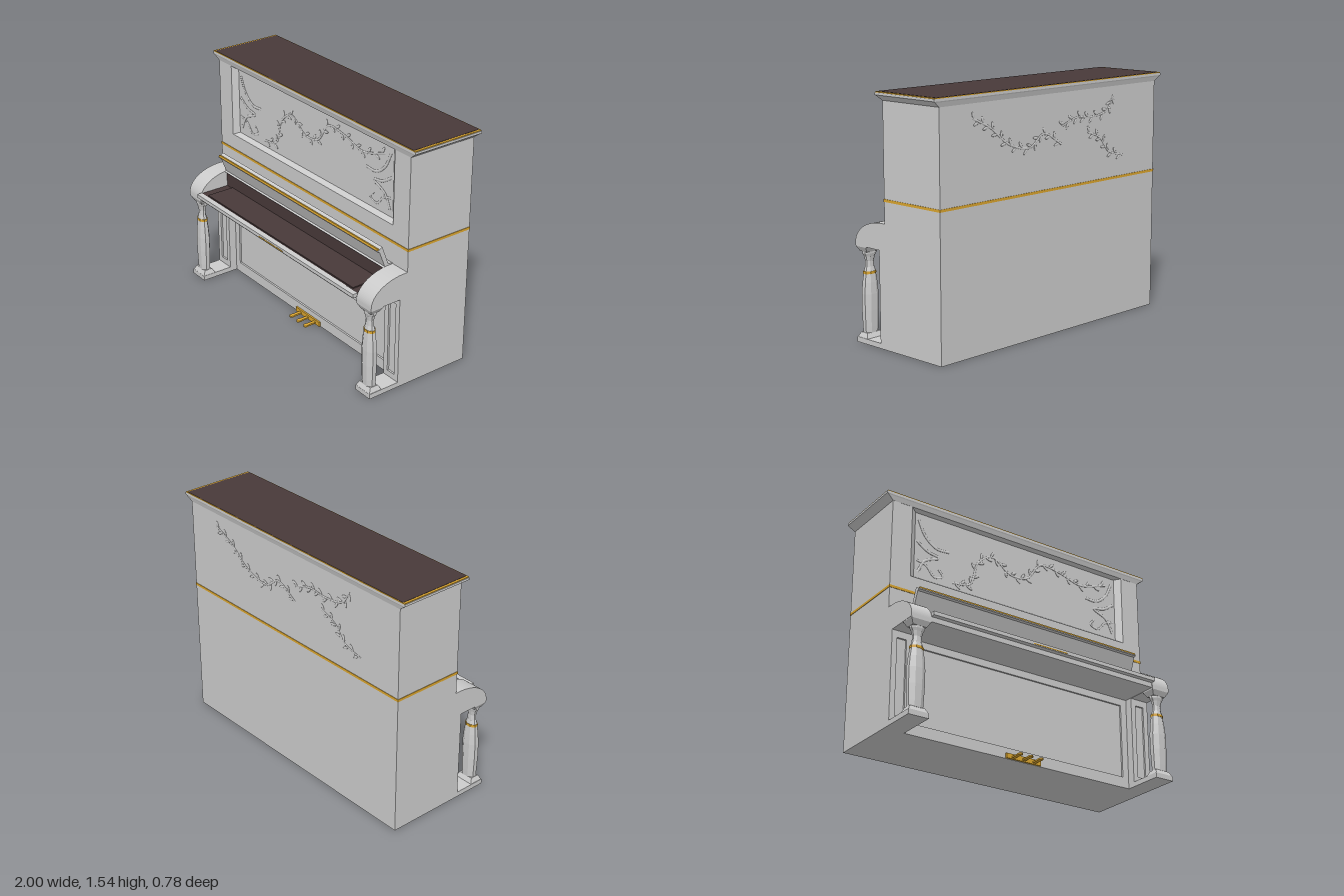
import * as THREE from 'three';

const mat = (name, color) => {
  const m = new THREE.MeshStandardMaterial({ color });
  m.name = name;
  return m;
};

// Skin a list of equal-sized loops with flat faces and an end cap
function loft(loops, startCap = true) {
  const pos = [];
  const tri = (...pts) => pts.forEach(p => pos.push(...p));
  const n = loops[0].length;
  for (let k = 0; k < loops.length - 1; k++) {
    for (let i = 0; i < n; i++) {
      const j = (i + 1) % n, [lo, hi] = [loops[k], loops[k + 1]];
      tri(lo[i], lo[j], hi[j], lo[i], hi[j], hi[i]);
    }
  }
  const first = loops[0], last = loops[loops.length - 1];
  for (let i = 1; i < n - 1; i++) {
    tri(last[0], last[i], last[i + 1]);
    if (startCap) tri(first[0], first[i + 1], first[i]);
  }
  const g = new THREE.BufferGeometry();
  g.setAttribute('position', new THREE.Float32BufferAttribute(pos, 3));
  g.computeVertexNormals();
  return g;
}

// Horizontal rectangle and octagon loops, vertical rectangle loop
const flatRect = (y, x0, x1, z0, z1) => [[x0, y, z1], [x1, y, z1], [x1, y, z0], [x0, y, z0]];
const uprightRect = (z, x0, x1, y0, y1) => [[x0, y0, z], [x1, y0, z], [x1, y1, z], [x0, y1, z]];
const octagon = (y, hx, hz) => Array.from({ length: 8 }, (_, i) => {
  const t = (i + 0.5) * Math.PI / 4, r = 1 / Math.cos(Math.PI / 8);
  return [hx * r * Math.cos(t), y, -hz * r * Math.sin(t)];
});

function boxGeo(x0, x1, y0, y1, z0, z1) {
  return new THREE.BoxGeometry(x1 - x0, y1 - y0, z1 - z0)
    .translate((x0 + x1) / 2, (y0 + y1) / 2, (z0 + z1) / 2);
}

// Rectangular frame with a rectangular opening, facing +z
function frameGeo([x0, x1, y0, y1], [a0, a1, b0, b1], z0, z1) {
  const v = pts => pts.map(p => new THREE.Vector2(...p));
  const s = new THREE.Shape(v([[x0, y0], [x1, y0], [x1, y1], [x0, y1]]));
  s.holes.push(new THREE.Path(v([[a0, b0], [a0, b1], [a1, b1], [a1, b0]])));
  return new THREE.ExtrudeGeometry(s, { depth: z1 - z0, bevelEnabled: false }).translate(0, 0, z0);
}

// Extrude a (z, y) side profile across x
function prismGeo(shape, x0, x1) {
  return new THREE.ExtrudeGeometry(shape, { depth: x1 - x0, bevelEnabled: false, curveSegments: 14 })
    .rotateY(-Math.PI / 2).translate(x1, 0, 0);
}
const poly = pts => new THREE.Shape(pts.map(p => new THREE.Vector2(...p)));

export function createModel() {
  const body = mat('body grey', 0xcccccc);
  const brown = mat('dark brown', 0x483939);
  const gold = mat('gold', 0xdaa52f);
  const model = new THREE.Group();
  model.name = 'uprightPiano';
  const add = (name, geo, m = body, parent = model) => {
    const mesh = new THREE.Mesh(geo, m);
    mesh.name = name;
    parent.add(mesh);
    return mesh;
  };

  // Case
  add('case', boxGeo(-0.953, 0.953, 0, 1.49, -0.375, 0.055));
  add('upperFrontFrame', frameGeo([-0.953, 0.953, 0.6, 1.49], [-0.815, 0.815, 1.01, 1.485], 0.055, 0.095));
  add('upperPanelRecess', loft([
    uprightRect(0.095, -0.815, 0.815, 1.01, 1.485),
    uprightRect(0.065, -0.775, 0.775, 1.03, 1.475)], false));
  add('lowerPanel', boxGeo(-0.82, 0.82, 0, 0.6, 0.05, 0.083));
  add('lowerPanelFrame', frameGeo([-0.82, 0.82, 0, 0.6], [-0.775, 0.775, 0.07, 0.555], 0.083, 0.095));
  add('goldBelt', boxGeo(-0.956, 0.956, 0.895, 0.911, -0.378, 0.098), gold);

  // Cornice and top
  add('cornice', loft([
    flatRect(1.485, -0.953, 0.953, -0.376, 0.096),
    flatRect(1.513, -0.99, 0.99, -0.384, 0.104),
    flatRect(1.52, -1, 1, -0.387, 0.107),
    flatRect(1.534, -1, 1, -0.387, 0.107)]));
  add('topGoldEdge', boxGeo(-0.997, 0.997, 1.534, 1.539, -0.387, 0.107), gold);
  add('topBoard', boxGeo(-0.982, 0.982, 1.535, 1.5405, -0.383, 0.103), brown);

  // Keyboard shelf and fallboard
  add('keybed', boxGeo(-0.82, 0.82, 0.6, 0.645, 0.09, 0.355));
  add('keybedFloor', boxGeo(-0.82, 0.82, 0.645, 0.652, 0.09, 0.357), brown);
  add('keyPlate', boxGeo(-0.76, 0.76, 0.652, 0.659, 0.14, 0.34), brown);
  add('keyBackWall', boxGeo(-0.82, 0.82, 0.65, 0.757, 0.09, 0.15), brown);
  add('keyRail', boxGeo(-0.82, 0.82, 0.632, 0.656, 0.352, 0.387));
  add('lockStrip', boxGeo(-0.12, 0.13, 0.637, 0.643, 0.385, 0.389), gold);
  add('fallboardHinge', prismGeo(poly([[0.09, 0.755], [0.165, 0.755], [0.15, 0.768], [0.12, 0.772], [0.09, 0.764]]), -0.82, 0.82));
  add('fallboard', prismGeo(poly([[0.125, 0.762], [0.155, 0.762], [0.202, 0.882], [0.176, 0.897]]), -0.82, 0.82));
  add('fallboardLip', prismGeo(poly([[0.194, 0.866], [0.211, 0.873], [0.213, 0.88], [0.2, 0.88]]), -0.82, 0.82));
  add('fallboardGoldLip', prismGeo(poly([[0.198, 0.88], [0.213, 0.88], [0.209, 0.891], [0.197, 0.888]]), -0.815, 0.815), gold);

  // Arms, cheeks, feet and legs on both sides
  const arm = poly([[0.09, 0.598], [0.36, 0.598]]);
  arm.lineTo(0.36, 0.615);
  arm.absellipse(0.12, 0.615, 0.24, 0.147, 0, Math.PI / 2, false);
  arm.lineTo(0.09, 0.762);
  const legParts = [
    ['legBase', body, [[0.06, 0.047, 0.031], [0.1, 0.049, 0.033], [0.2, 0.053, 0.036], [0.3, 0.053, 0.036], [0.37, 0.047, 0.032], [0.422, 0.039, 0.027]]],
    ['legGoldBand', gold, [[0.422, 0.041, 0.029], [0.438, 0.041, 0.029]]],
    ['legNeck', body, [[0.438, 0.037, 0.026], [0.465, 0.029, 0.02], [0.5, 0.027, 0.018], [0.53, 0.034, 0.024], [0.548, 0.045, 0.029], [0.562, 0.045, 0.029]]],
  ];
  for (const s of [-1, 1]) {
    const side = s > 0 ? 'left' : 'right';
    const [x0, x1] = s > 0 ? [0.82, 0.953] : [-0.953, -0.82];
    add(side + 'Arm', prismGeo(arm, x0, x1));
    add(side + 'Cheek', boxGeo(x0, x1, 0, 0.6, 0.05, 0.135));
    add(side + 'CheekFrame', frameGeo([x0, x1, 0, 0.6], [x0 + 0.035, x1 - 0.035, 0.07, 0.555], 0.135, 0.147));
    add(side + 'Foot', boxGeo(x0, x1, 0, 0.032, 0.14, 0.36));
    const leg = new THREE.Group();
    leg.name = side + 'Leg';
    leg.position.set(s * 0.886, 0, 0.314);
    model.add(leg);
    add('legPlinth', loft([
      flatRect(0.032, -0.064, 0.064, -0.045, 0.045),
      flatRect(0.062, -0.05, 0.05, -0.028, 0.028)]), body, leg);
    add('legCapital', loft([
      flatRect(0.56, -0.046, 0.046, -0.03, 0.03),
      flatRect(0.592, -0.065, 0.065, -0.046, 0.046),
      flatRect(0.6, -0.065, 0.065, -0.046, 0.046)]), body, leg);
    for (const [name, m, rows] of legParts) add(name, loft(rows.map(r => octagon(...r))), m, leg);
  }

  // Pedals
  add('pedalPlate', boxGeo(-0.12, 0.13, 0.002, 0.033, 0.09, 0.107), gold);
  const pedal = new THREE.Shape();
  pedal.moveTo(-0.011, 0);
  pedal.lineTo(0.011, 0);
  pedal.lineTo(0.011, -0.05);
  pedal.bezierCurveTo(0.03, -0.1, -0.03, -0.1, -0.011, -0.05);
  for (const x of [-0.07, 0.005, 0.08]) {
    const geo = new THREE.ExtrudeGeometry(pedal, { depth: 0.01, bevelEnabled: false, curveSegments: 8 });
    add('pedal', geo.rotateX(-Math.PI / 2).translate(x, 0.009, 0.105), gold);
  }

  // Low carved relief: a flattened stem with optional alternating leaves
  const leafGeo = new THREE.SphereGeometry(1, 8, 6);
  const carve = (name, pts, z, r, leaves) => {
    const g = new THREE.Group();
    g.name = name;
    g.position.z = z;
    g.scale.z = 0.5;
    model.add(g);
    const curve = new THREE.CatmullRomCurve3(pts.map(([x, y]) => new THREE.Vector3(x, y, 0)));
    add('stem', new THREE.TubeGeometry(curve, pts.length * 8, r, 6), body, g);
    for (let i = 0; i < leaves; i++) {
      const t = (i + 0.5) / leaves, p = curve.getPoint(t), d = curve.getTangent(t);
      const a = Math.atan2(d.y, d.x) + (i % 2 ? 0.8 : -0.8);
      const leaf = add('leaf', leafGeo, body, g);
      leaf.scale.set(0.024, 0.009, 0.009);
      leaf.rotation.z = a;
      leaf.position.set(p.x + 0.025 * Math.cos(a), p.y + 0.025 * Math.sin(a), 0);
    }
  };
  carve('frontVine', [[-0.5, 1.07], [-0.37, 1.1], [-0.31, 1.27], [-0.2, 1.34], [-0.07, 1.26], [0.06, 1.27],
    [0.17, 1.4], [0.33, 1.39], [0.49, 1.35], [0.7, 1.41]], 0.065, 0.007, 30);
  for (const s of [-1, 1]) {
    const m = pts => pts.map(([x, y]) => [s * x, y]);
    carve('frontScroll', m([[0.75, 1.43], [0.7, 1.33], [0.62, 1.27], [0.53, 1.27]]), 0.065, 0.009, 0);
    carve('frontScroll', m([[0.76, 1.28], [0.68, 1.23], [0.6, 1.21], [0.7, 1.16], [0.75, 1.07]]), 0.065, 0.009, 0);
    carve('frontScroll', m([[0.76, 1.15], [0.69, 1.13], [0.63, 1.07], [0.57, 1.09], [0.6, 1.13]]), 0.065, 0.007, 0);
  }
  carve('backVine', [[-0.54, 1.43], [-0.48, 1.34], [-0.32, 1.31], [-0.2, 1.32], [-0.06, 1.28]], -0.375, 0.006, 14);
  carve('backVine', [[-0.64, 1.04], [-0.5, 1.08], [-0.42, 1.17], [-0.3, 1.22]], -0.375, 0.006, 10);
  carve('backVine', [[-0.06, 1.17], [0.1, 1.25], [0.22, 1.18], [0.4, 1.22], [0.55, 1.33], [0.7, 1.4]], -0.375, 0.007, 20);

  return model;
}
